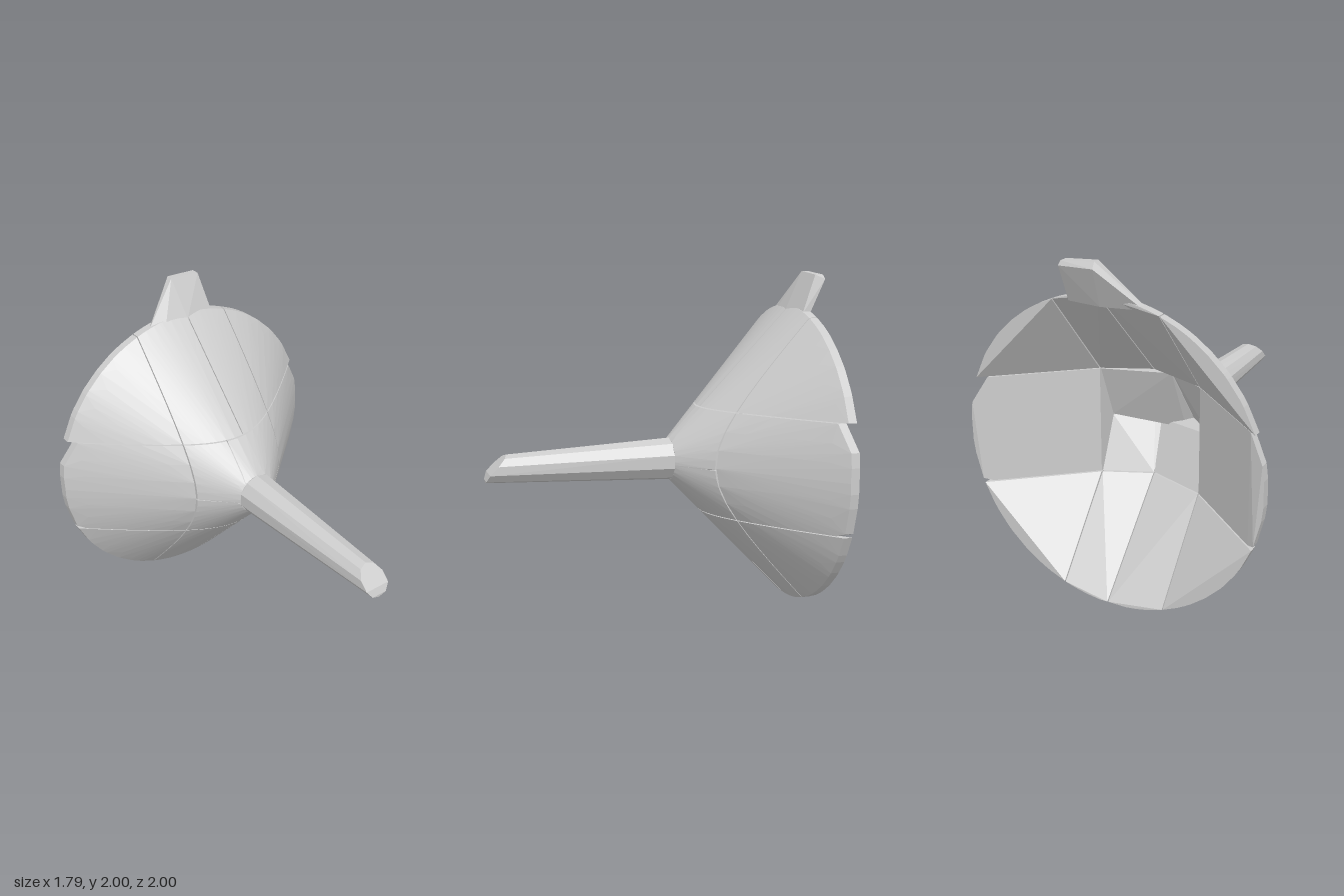
import * as THREE from 'three';
import { ConvexGeometry } from 'three/addons/geometries/ConvexGeometry.js';

const CY = 0.9;          // height of the funnel axis
const R = 0.9;           // rim radius
const NECK = 0.125;      // radius where the cone meets the spout
const WALL = 0.05;       // wall thickness along the axis
const GAP = 0.003;       // half width of the seams between panels

const material = new THREE.MeshStandardMaterial({ color: 0xcccccc, flatShading: true });

function hull(name, points) {
  const mesh = new THREE.Mesh(new ConvexGeometry(points), material);
  mesh.name = name;
  return mesh;
}

// depth of the cone's outer face at a distance r from the axis
const coneZ = (r) => -0.1 - 0.75 * (r - NECK) / (R - NECK);

// One faceted panel of the cone: the part of the wall inside a rectangle (y relative to the axis)
function conePanel(x0, x1, y0, y1) {
  x0 += GAP; x1 -= GAP; y0 += GAP; y1 -= GAP;
  const points = [];
  const add = (x, y) => {
    let r = Math.hypot(x, y);
    if (r < NECK) {
      if (r < 0.02) return;
      x *= NECK / r; y *= NECK / r; r = NECK;
    }
    const z = coneZ(r);
    points.push(new THREE.Vector3(x, CY + y, z), new THREE.Vector3(x, CY + y, z - WALL));
  };
  // limit the rectangle to the rim circle
  const nearY = y0 > 0 ? y0 : y1 < 0 ? -y1 : 0;
  const reach = Math.sqrt(R * R - nearY * nearY);
  x0 = Math.max(x0, -reach);
  x1 = Math.min(x1, reach);
  const N = 6;
  for (let i = 0; i <= N; i++) {
    const x = x0 + (x1 - x0) * i / N;
    const h = Math.sqrt(Math.max(0, R * R - x * x));
    for (let j = 0; j <= N; j++) {
      const y = y0 + (y1 - y0) * j / N;
      if (Math.abs(y) <= h || j === 0 || j === N) add(x, Math.max(-h, Math.min(h, y)));
    }
  }
  // rim and neck circles
  for (const [radius, count] of [[R, 36], [NECK, 12]]) {
    for (let k = 0; k < count; k++) {
      const a = k / count * Math.PI * 2;
      const x = radius * Math.cos(a), y = radius * Math.sin(a);
      if (x >= x0 && x <= x1 && y >= y0 && y <= y1) add(x, y);
    }
  }
  return hull('conePanel', points);
}

function createCone() {
  const cone = new THREE.Group();
  cone.name = 'cone';
  const L = -0.315, Rt = 0.315, B = -0.33, T = 0.31;
  const panels = [
    // corners
    [-R, L, T, R], [Rt, R, T, R], [-R, L, -R, B], [Rt, R, -R, B],
    // sides, top and bottom
    [-R, L, B, T], [Rt, R, B, T],
    [L, 0.035, T, R], [0.035, Rt, T, R],
    [L, 0.035, -R, B], [0.035, Rt, -R, B],
    // around the neck
    [L, -0.08, -0.02, T], [-0.08, Rt, -0.02, T],
    [L, 0.035, B, -0.02], [0.035, Rt, B, -0.02],
  ];
  for (const p of panels) cone.add(conePanel(...p));
  return cone;
}

// Tapered spout with a slanted tip
function createSpout() {
  const points = [];
  const sides = 10;
  for (let i = 0; i < sides; i++) {
    const a = (i + 0.5) / sides * Math.PI * 2;
    const c = Math.cos(a), s = Math.sin(a);
    points.push(new THREE.Vector3(0.127 * c, CY + 0.127 * s, -0.11));
    const y = 0.903 + 0.08 * s;
    points.push(new THREE.Vector3(0.082 * c, y, Math.min(1, 1.86 - y)));
  }
  return hull('spout', points);
}

// Hanging tab leaning back from the top of the rim
function createTab() {
  const corners = [
    [-0.22, 1.765, -0.86], [-0.12, 1.77, -0.835], [0.03, 1.77, -0.825], [0.22, 1.76, -0.85],
    [-0.22, 1.75, -0.875], [0.03, 1.74, -0.895], [0.22, 1.745, -0.89],
    [0.0, 2.0, -0.94], [0.19, 1.985, -0.94],
    [0.0, 2.0, -0.98], [0.0, 1.965, -1], [0.2, 1.96, -1], [0.19, 1.985, -0.99],
  ];
  return hull('hangingTab', corners.map((c) => new THREE.Vector3(...c)));
}

export function createModel() {
  const model = new THREE.Group();
  model.name = 'funnel';
  model.add(createCone(), createSpout(), createTab());
  return model;
}
